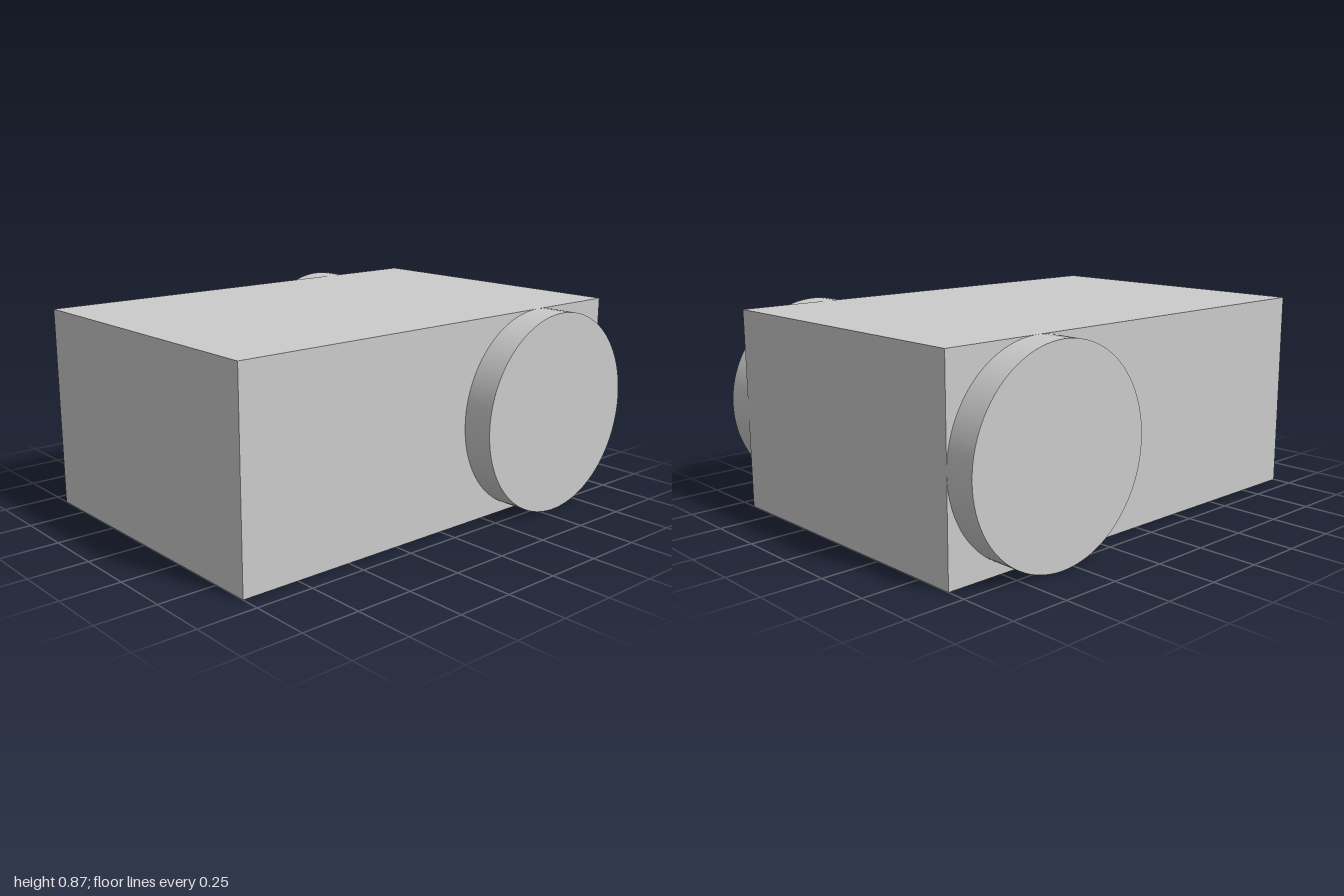
import * as THREE from 'three';

export function createModel() {
  const model = new THREE.Group();
  const material = new THREE.MeshStandardMaterial({ color: 0xcccccc });
  const width = 1.333, height = 0.867, length = 2;
  const radius = height / 2, thickness = 0.133;

  // Solid rectangular body
  const body = new THREE.Mesh(new THREE.BoxGeometry(width, height, length), material);
  body.name = 'body';
  body.position.y = height / 2;
  model.add(body);

  // Round discs, flush with the back of the body on either side
  const discGeometry = new THREE.CylinderGeometry(radius, radius, thickness, 96).rotateZ(Math.PI / 2);
  for (const side of [1, -1]) {
    const disc = new THREE.Mesh(discGeometry, material);
    disc.name = side > 0 ? 'leftDisc' : 'rightDisc';
    disc.position.set(side * (width + thickness) / 2, radius, radius - length / 2);
    model.add(disc);
  }
  return model;
}
